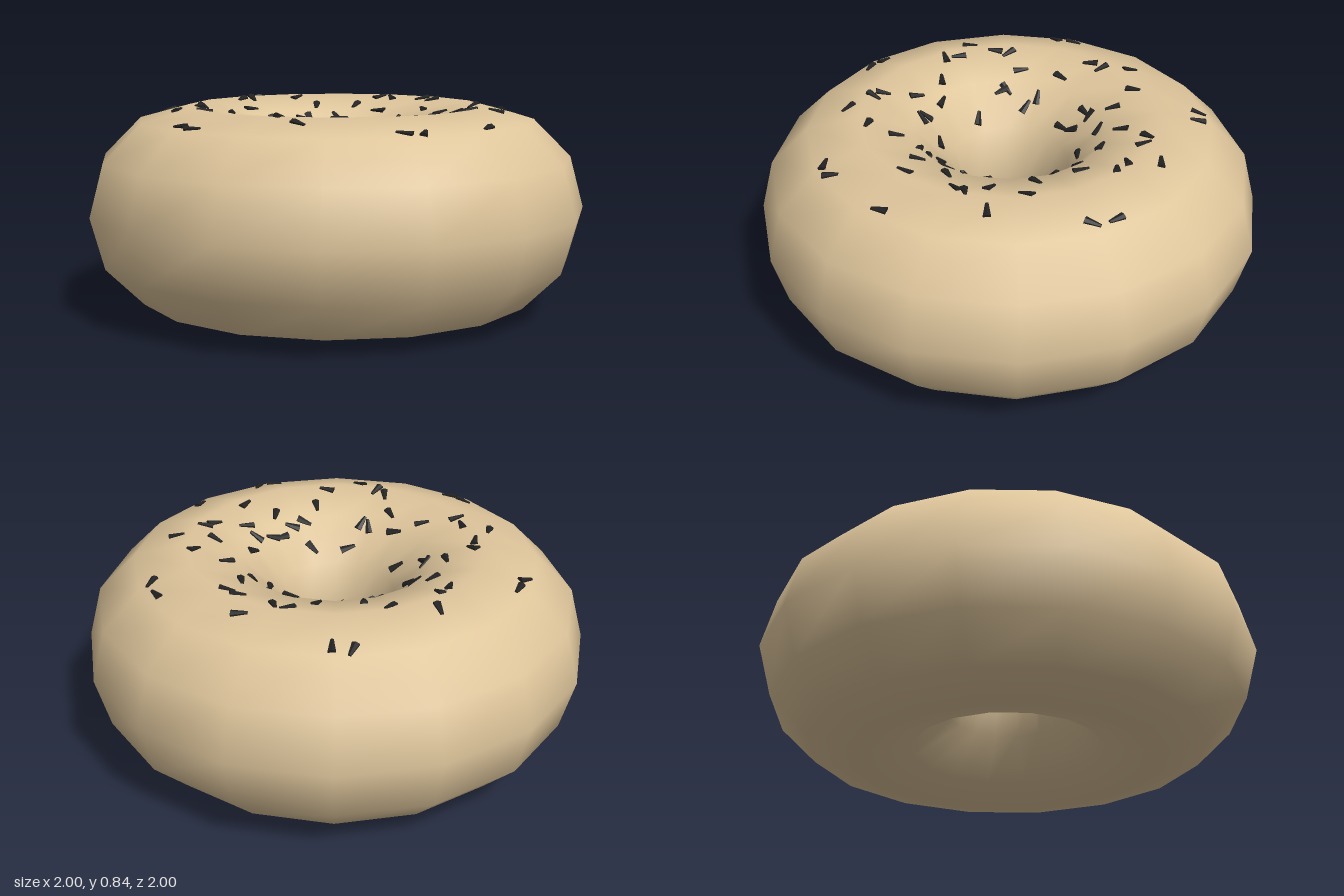
import * as THREE from 'three';

// Sprinkle positions seen from above: x, z pairs in hundredths of a unit
const SPOTS = [
  22, -72, 30, -68, -15, -63, -52, -53, -58, -49, -5, -55, 1, -55, -25, -49,
  -20, -51, 7, -43, 36, -42, 52, -38, -26, -35, 24, -36, -13, -36, -1, -35,
  12, -33, 40, -28, 50, -25, -15, -23, -26, -24, -37, -22, -50, -22, 14, -23,
  50, -20, -32, -14, -33, -11, -63, -10, 31, -16, 36, -10, 43, -9, 75, -7,
  -27, -4, -27, -9, -55, -1, -55, 5, 35, -2, 34, 2, 55, 1, 43, 7,
  -42, 10, -31, 13, -26, 15, 35, 9, 34, 15, 26, 12, -35, 26, -25, 25,
  -23, 26, -9, 26, 16, 23, 37, 25, -70, 27, -67, 35, -39, 37, -36, 42,
  72, 23, 69, 30, 14, 33, 2, 36, 42, 36, 10, 42, 17, 32, -6, 44,
  -33, 54, -22, 50, -17, 53, 21, 50, 26, 50, 38, 52, -2, 75, 6, 75,
];

function seeded(seed) {
  return () => {
    seed = (seed * 16807) % 2147483647;
    return seed / 2147483647;
  };
}

export function createModel() {
  const group = new THREE.Group();
  group.name = 'doughnut';

  // Ring of dough: 16 segments around, 12-sided tube, smooth normals
  const doughGeometry = new THREE.TorusGeometry(0.59, 0.41, 12, 16);
  doughGeometry.rotateX(-Math.PI / 2);
  doughGeometry.translate(0, 0.41, 0);
  const dough = new THREE.Mesh(doughGeometry, new THREE.MeshStandardMaterial({ color: 0xdec59b }));
  dough.name = 'dough';
  group.add(dough);

  // Tapered, slightly flattened sprinkle shared by all copies
  const sprinkleGeometry = new THREE.CylinderGeometry(0.007, 0.017, 0.062, 6);
  sprinkleGeometry.scale(1, 1, 0.7);
  const sprinkleMaterial = new THREE.MeshStandardMaterial({ color: 0x222222, flatShading: true });
  const sprinkles = new THREE.Group();
  sprinkles.name = 'sprinkles';
  group.add(sprinkles);

  // Drop each sprinkle onto the dough and lay it flat against the surface
  const random = seeded(4217);
  const down = new THREE.Vector3(0, -1, 0);
  const basis = new THREE.Matrix4();
  for (let i = 0; i < SPOTS.length; i += 2) {
    const start = new THREE.Vector3(SPOTS[i] / 100, 2, SPOTS[i + 1] / 100);
    const hit = new THREE.Raycaster(start, down).intersectObject(dough)[0];
    if (!hit) continue;
    const normal = hit.face.normal;
    const turn = random() * Math.PI * 2;
    const along = new THREE.Vector3(Math.cos(turn), 0, Math.sin(turn)).projectOnPlane(normal).normalize();
    const side = new THREE.Vector3().crossVectors(along, normal);

    const sprinkle = new THREE.Mesh(sprinkleGeometry, sprinkleMaterial);
    sprinkle.name = 'sprinkle';
    sprinkle.quaternion.setFromRotationMatrix(basis.makeBasis(side, along, normal));
    sprinkle.position.copy(hit.point).addScaledVector(normal, 0.002);
    sprinkles.add(sprinkle);
  }
  return group;
}
